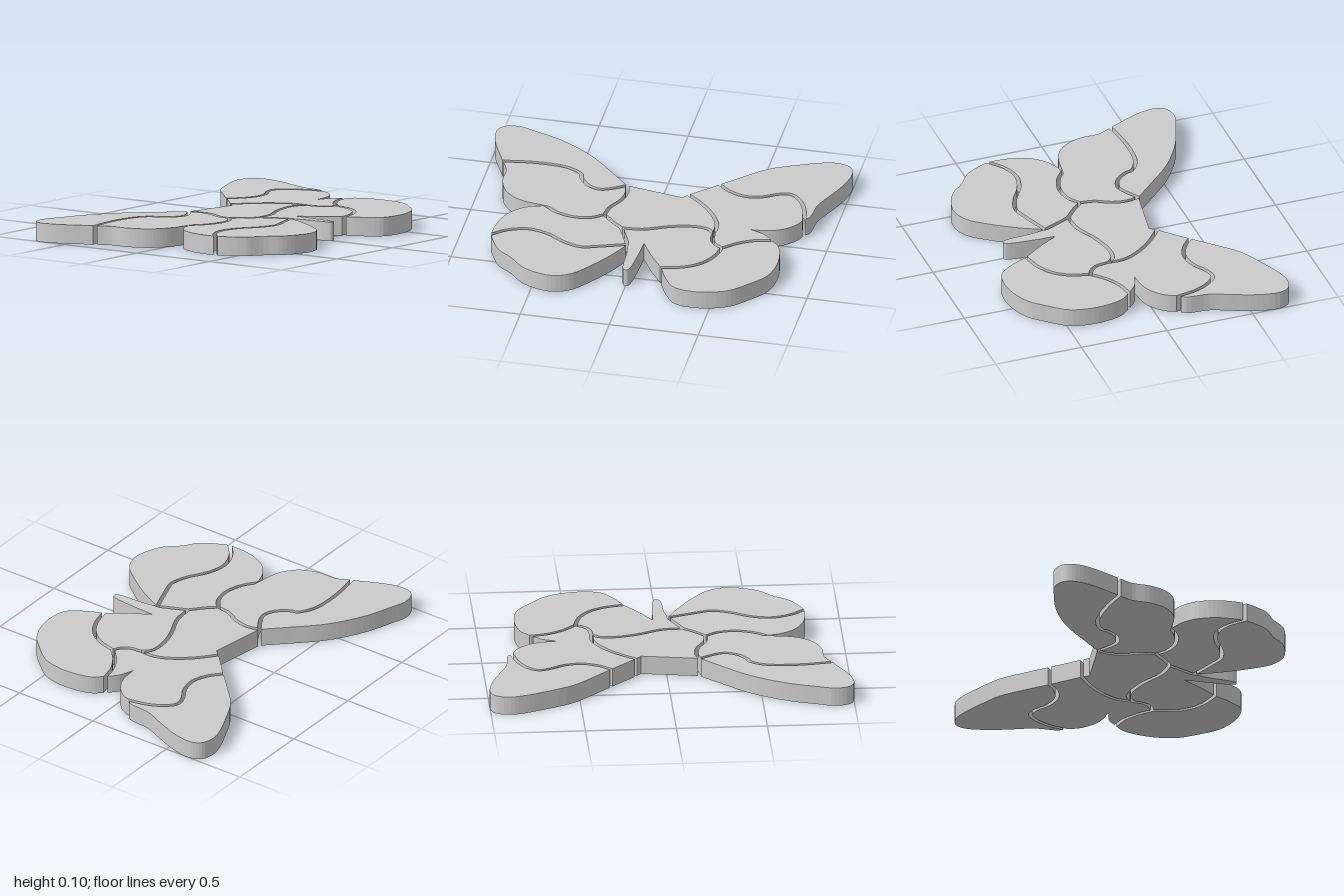
import * as THREE from 'three';

const THICK = 0.105;   // plate thickness
const HALF_GAP = 0.01; // half the width of the cut between pieces

// Cut lines (centre lines), points are [x, z]
const seams = {
  leftTip: [[-.9, -.365], [-.77, -.385], [-.64, -.39], [-.53, -.375], [-.45, -.325], [-.44, -.29], [-.385, -.22], [-.315, -.195], [-.25, -.22], [-.18, -.265]],
  leftBody: [[-.18, -.265], [-.165, -.19], [-.18, -.11], [-.225, -.02], [-.235, .055]],
  leftWaist: [[-.57, .035], [-.5, .085], [-.4, .115], [-.3, .1], [-.235, .055]],
  leftHipUpper: [[-.235, .055], [-.18, .115], [-.115, .17]],
  leftHipLower: [[-.115, .17], [-.08, .25], [-.045, .33]],
  leftHind: [[-.8, .39], [-.72, .325], [-.61, .29], [-.5, .315], [-.39, .38], [-.29, .41], [-.2, .385], [-.045, .33]],
  belly: [[-.115, .17], [0, .16], [.14, .1], [.27, .07], [.35, .08], [.39, .12]],
  rightBody: [[.17, -.245], [.27, -.16], [.35, -.06], [.39, .03], [.39, .12]],
  rightHip: [[.39, .12], [.4, .19], [.43, .23], [.47, .255]],
  rightHindInner: [[.185, .525], [.3, .495], [.385, .44], [.44, .36], [.47, .255]],
  rightHindUpper: [[.47, .255], [.54, .19], [.63, .14], [.72, .12]],
  rightTip: [[.315, -.385], [.38, -.33], [.47, -.295], [.57, -.31], [.65, -.355], [.715, -.37], [.77, -.33], [.82, -.24], [.845, -.13]],
};

// Outer edges of the silhouette
const edges = {
  leftTipRim: [[-.9, -.365], [-.99, -.57], [-1, -.67], [-.97, -.72], [-.89, -.738], [-.8, -.71], [-.66, -.66], [-.53, -.59], [-.42, -.51], [-.3, -.39], [-.18, -.265]],
  leftForeRim: [[-.9, -.365], [-.862, -.28], [-.86, -.18], [-.83, -.09], [-.78, -.03], [-.71, .01], [-.57, .035]],
  leftHindRim: [[-.57, .035], [-.66, .065], [-.73, .12], [-.78, .21], [-.798, .3], [-.8, .39]],
  leftLowerRim: [[-.8, .39], [-.77, .46], [-.72, .54], [-.64, .6], [-.57, .675], [-.48, .72], [-.385, .735], [-.29, .7], [-.21, .61], [-.11, .46], [-.045, .33]],
  headTop: [[-.18, -.265], [.14, -.21]],
  headCorner: [[.14, -.21], [.17, -.245]],
  tailWing: [[.185, .525], [.11, .42], [.04, .3]],
  tail: [[.04, .3], [.035, .42], [.022, .56], [.01, .588], [-.01, .588], [-.022, .56], [-.03, .42], [-.045, .33]],
  rightForeTop: [[.17, -.245], [.315, -.385]],
  rightForeRim: [[.845, -.13], [.81, -.06], [.75, -.005], [.68, .025], [.58, .035]],
  rightNotch: [[.58, .035], [.66, .065], [.72, .12]],
  rightHindRim: [[.72, .12], [.77, .18], [.795, .27], [.798, .38], [.77, .49], [.69, .59], [.61, .67], [.51, .715], [.4, .73], [.3, .71], [.235, .63], [.185, .525]],
  rightTipRim: [[.315, -.385], [.41, -.48], [.54, -.6], [.7, -.68], [.81, -.725], [.89, -.742], [.97, -.72], [1, -.66], [.98, -.53], [.93, -.4], [.885, -.29], [.87, -.16], [.845, -.13]],
};

// Each piece runs clockwise seen from above; "-" walks a line backwards
const pieces = {
  leftWingTip: 'leftTipRim -leftTip',
  leftForewing: 'leftTip leftBody -leftWaist -leftForeRim',
  leftHindwingUpper: 'leftWaist leftHipUpper leftHipLower -leftHind -leftHindRim',
  leftHindwingLower: 'leftHind -leftLowerRim',
  upperBody: 'headTop headCorner rightBody -belly -leftHipUpper -leftBody',
  lowerBodyWithTail: 'belly rightHip -rightHindInner tailWing tail -leftHipLower',
  rightHindwing: 'rightHindUpper rightHindRim rightHindInner',
  rightForewing: 'rightForeTop rightTip rightForeRim rightNotch -rightHindUpper -rightHip -rightBody',
  rightWingTip: 'rightTipRim -rightTip',
};

// Smooth samples along one line; each sample carries the inset of the segment after it
function sample(token) {
  const back = token[0] === '-';
  const name = back ? token.slice(1) : token;
  const raw = seams[name] || edges[name];
  const inset = seams[name] ? HALF_GAP : 0;
  const curve = new THREE.CatmullRomCurve3(raw.map(([x, z]) => new THREE.Vector3(x, z, 0)));
  const pts = raw.length === 2 ? curve.getPoints(1) : curve.getPoints((raw.length - 1) * 4);
  if (back) pts.reverse();
  return pts.slice(0, -1).map((p) => ({ x: p.x, y: p.y, inset }));
}

// Moves the cut sides inwards and mitres the corners
function insetLoop(loop) {
  const n = loop.length;
  const normals = loop.map((p, i) => {
    const q = loop[(i + 1) % n];
    return new THREE.Vector2(p.y - q.y, q.x - p.x).normalize();
  });
  return loop.map((p, i) => {
    const j = (i + n - 1) % n;
    const a = normals[j], b = normals[i], da = loop[j].inset, db = loop[i].inset;
    const cross = a.x * b.y - a.y * b.x;
    if (Math.abs(cross) < 0.4) {
      const m = a.clone().add(b).normalize().multiplyScalar((da + db) / 2);
      return new THREE.Vector2(p.x + m.x, p.y + m.y);
    }
    return new THREE.Vector2(p.x + (da * b.y - db * a.y) / cross, p.y + (db * a.x - da * b.x) / cross);
  });
}

export function createModel() {
  const group = new THREE.Group();
  group.name = 'butterflyPuzzle';
  const material = new THREE.MeshStandardMaterial({ color: 0xcccccc, flatShading: true });

  for (const [name, path] of Object.entries(pieces)) {
    const loop = path.split(' ').flatMap(sample);
    const geometry = new THREE.ExtrudeGeometry(new THREE.Shape(insetLoop(loop)), { depth: THICK, bevelEnabled: false });
    geometry.rotateX(Math.PI / 2).translate(0, THICK, 0);
    const mesh = new THREE.Mesh(geometry, material);
    mesh.name = name;
    group.add(mesh);
  }
  return group;
}
